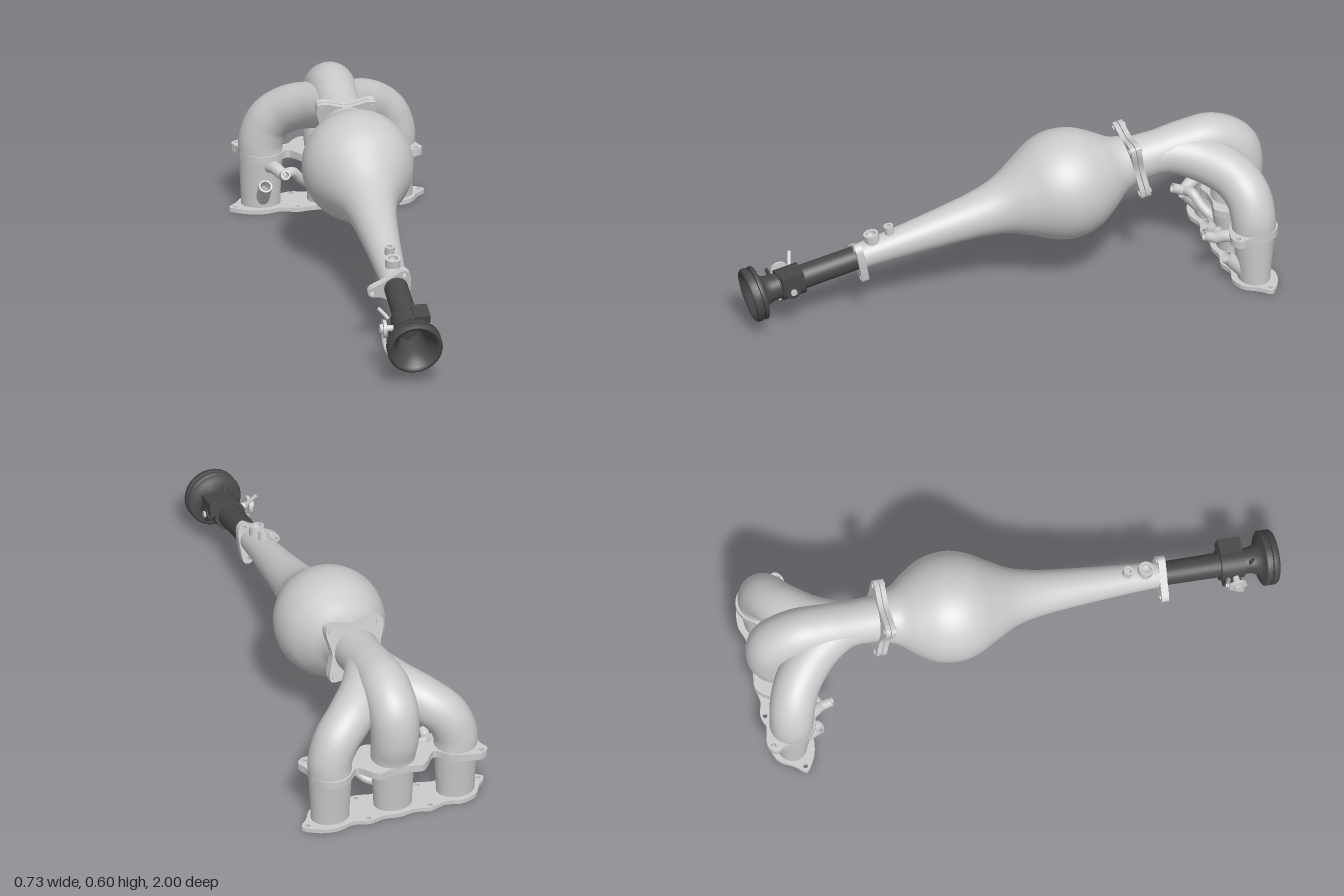
import * as THREE from 'three';

const grey = new THREE.MeshStandardMaterial({ color: 0xcccccc, side: THREE.DoubleSide });
const dark = new THREE.MeshStandardMaterial({ color: 0x484848, side: THREE.DoubleSide });
const V = (x, y, z) => new THREE.Vector3(x, y, z);
const PORT_X = [-0.245, 0, 0.245], PORT_Z = -0.89;

function add(parent, name, geometry, material = grey, pos = [0, 0, 0]) {
  const mesh = new THREE.Mesh(geometry, material);
  mesh.name = name;
  mesh.position.set(...pos);
  parent.add(mesh);
  return mesh;
}

// Lathe from [radius, height] pairs; repeated points keep an edge sharp
const lathe = (pts, seg = 48) => new THREE.LatheGeometry(pts.map(p => new THREE.Vector2(...p)), seg);

// Smooth lathe: spline through the pairs
const smoothLathe = (pts, seg = 64) => new THREE.LatheGeometry(
  new THREE.SplineCurve(pts.map(p => new THREE.Vector2(...p))).getPoints(60), seg);

// Tube whose radius follows a list of values along its path
function sweep(pts, radii, rings = 48, sides = 36) {
  const path = new THREE.CatmullRomCurve3(pts.map(p => V(...p)));
  const geo = new THREE.TubeGeometry(path, rings, 1, sides);
  const pos = geo.attributes.position, v = V();
  for (let i = 0; i <= rings; i++) {
    const c = path.getPointAt(i / rings), f = (i / rings) * (radii.length - 1);
    const k = Math.min(Math.floor(f), radii.length - 2);
    const r = THREE.MathUtils.lerp(radii[k], radii[k + 1], f - k);
    for (let j = 0; j <= sides; j++) {
      const n = i * (sides + 1) + j;
      v.fromBufferAttribute(pos, n).sub(c).multiplyScalar(r).add(c);
      pos.setXYZ(n, v.x, v.y, v.z);
    }
  }
  return geo;
}

// Flat plate with a smooth outline and [x, y, rx, ry] holes, lying flat with thickness upwards
function plate(outline, holes, depth) {
  const curve = new THREE.CatmullRomCurve3(outline.map(p => V(p[0], p[1], 0)), true);
  const shape = new THREE.Shape(curve.getPoints(140).slice(0, -1).map(p => new THREE.Vector2(p.x, p.y)));
  for (const [x, y, rx, ry = rx] of holes)
    shape.holes.push(new THREE.Path().absellipse(x, y, rx, ry, 0, Math.PI * 2, true));
  const geo = new THREE.ExtrudeGeometry(shape, { depth, bevelEnabled: false, curveSegments: 24 });
  return geo.rotateX(-Math.PI / 2);
}

const turned = half => [...half, ...half.map(([x, y]) => [-x, -y])];

// Straight hollow spout from a to b
function spout(parent, name, a, b, r, bore, material = grey) {
  const d = V(...b).sub(V(...a)), h = d.length();
  const mesh = add(parent, name, lathe([[r * 1.05, 0], [r, h], [r, h], [bore, h], [bore, h], [bore, h * 0.5], [0, h * 0.5]], 28), material, a);
  mesh.quaternion.setFromUnitVectors(V(0, 1, 0), d.normalize());
}

function buildRunners(root) {
  // Head flange and joint flange
  const base = turned([[-0.367, -0.03], [-0.345, -0.052], [-0.3, -0.075], [-0.24, -0.083], [-0.18, -0.067],
    [-0.12, -0.082], [-0.06, -0.072], [0, -0.08], [0.06, -0.072], [0.12, -0.085], [0.18, -0.068],
    [0.24, -0.082], [0.3, -0.062], [0.335, -0.01]]);
  const bolts = [[-0.345, -0.03], [0.345, 0.03], [-0.12, -0.066], [0.12, 0.066], [0.12, -0.068], [-0.12, 0.068]];
  add(root, 'headFlange', plate(base, [...bolts.map(b => [...b, 0.009]),
    ...PORT_X.map(x => [x, 0, 0.06, 0.048])], 0.016), grey, [0, 0, PORT_Z]);
  const joint = turned([[-0.325, -0.02], [-0.295, -0.07], [-0.245, -0.09], [-0.2, -0.075], [-0.15, -0.03],
    [-0.105, -0.08], [-0.08, -0.095], [-0.04, -0.085], [0.03, -0.086], [0.08, -0.097], [0.105, -0.08],
    [0.15, -0.03], [0.2, -0.075], [0.25, -0.094], [0.31, -0.104], [0.34, -0.08], [0.325, -0.035]]);
  add(root, 'jointFlange', plate(joint, [[0.315, -0.083, 0.01], [-0.315, 0.083, 0.01]], 0.028),
    grey, [0, 0.197, PORT_Z]);

  // Lower runners taper to oval ports
  for (const x of PORT_X) {
    const geo = lathe([[0.06, 0.2], [0.06, 0], [0.06, 0], [0.072, 0], [0.072, 0], [0.073, 0.05], [0.08, 0.2]]);
    const p = geo.attributes.position;
    for (let i = 0; i < p.count; i++) p.setZ(i, p.getZ(i) * (0.8 + 0.9 * p.getY(i)));
    geo.computeVertexNormals();
    add(root, 'lowerRunner', geo, grey, [x, 0, PORT_Z]);
    spout(root, 'injectorBoss', [x, 0.04, -0.855], [x, 0.118, -0.785], 0.025, 0.019);
  }

  // Upper runners merging into the collector neck
  add(root, 'centreRunner', sweep([[0, 0.444, -0.5], [0, 0.46, -0.6], [0, 0.48, -0.71], [0, 0.483, -0.81],
    [0, 0.43, -0.895], [0, 0.33, -0.912], [0, 0.25, -0.895], [0, 0.2, -0.89]],
  [0.086, 0.082, 0.086, 0.091, 0.092, 0.088, 0.08]));
  for (const s of [-1, 1]) {
    add(root, 'outerRunner', sweep([[0, 0.452, -0.55], [0.012 * s, 0.457, -0.64], [0.06 * s, 0.44, -0.745],
      [0.15 * s, 0.398, -0.84], [0.215 * s, 0.342, -0.877], [0.245 * s, 0.265, -0.888], [0.245 * s, 0.2, -0.89]],
    [0.08, 0.078, 0.084, 0.086, 0.085, 0.083, 0.08]));
    // Breather pipe between the runners with its front nipple
    add(root, 'breatherPipe', sweep([[0.19 * s, 0.165, -0.765], [0.145 * s, 0.168, -0.785], [0.115 * s, 0.135, -0.805],
      [0.085 * s, 0.105, -0.83], [0.03 * s, 0.09, -0.86]], [0.02, 0.018, 0.018, 0.02], 28, 18));
    add(root, 'breatherArm', sweep([[0.182 * s, 0.165, -0.765], [0.205 * s, 0.18, -0.8], [0.24 * s, 0.18, -0.86]],
      [0.022, 0.024, 0.032], 12, 18));
    spout(root, 'breatherNipple', [0.182 * s, 0.155, -0.785], [0.182 * s, 0.183, -0.72], 0.018, 0.012);
  }
}

// Plenum, throttle and trumpet share one tilted axis: local y runs backwards, local z up
function buildIntake(root) {
  const g = new THREE.Group();
  g.name = 'intake';
  g.position.y = 0.345;
  g.rotation.x = -Math.PI / 2 + Math.atan(0.205);
  root.add(g);

  add(g, 'plenum', smoothLathe([[0.048, -0.57], [0.052, -0.48], [0.062, -0.34], [0.072, -0.22], [0.085, -0.1],
    [0.108, 0], [0.155, 0.095], [0.192, 0.17], [0.205, 0.245], [0.19, 0.325], [0.15, 0.395], [0.11, 0.45], [0.094, 0.5]]));

  // Square bolted collector flanges
  const square = [];
  for (let i = 0; i < 4; i++) {
    const c = Math.round(Math.cos(i * Math.PI / 2)), s = Math.round(Math.sin(i * Math.PI / 2));
    for (const [x, y] of [[0.095, 0], [0.112, 0.082], [0.107, 0.107], [0.082, 0.112]]) square.push([x * c - y * s, x * s + y * c]);
  }
  const corners = [[1, 1], [1, -1], [-1, 1], [-1, -1]];
  for (const y of [0.492, 0.513])
    add(g, 'collectorFlange', plate(square, corners.map(c => [c[0] * 0.093, c[1] * 0.093, 0.009]), 0.018), grey, [0, y, 0]);
  for (const [x, z] of corners)
    add(g, 'flangeBolt', new THREE.CylinderGeometry(0.011, 0.011, 0.05, 6), grey, [x * 0.093, 0.512, z * 0.093]);

  // Three-eared throttle flange
  add(g, 'throttleFlange', plate([[0.05, -0.055], [0.03, -0.071], [0.005, -0.06], [-0.05, -0.025], [-0.096, 0.002],
    [-0.103, 0.02], [-0.088, 0.035], [-0.05, 0.04], [-0.01, 0.066], [0.02, 0.091], [0.04, 0.085], [0.047, 0.06],
    [0.052, 0.02], [0.055, -0.02]], [[0.031, -0.053, 0.009], [-0.086, 0.019, 0.009], [0.025, 0.073, 0.009]], 0.028),
  grey, [0, -0.58, 0]);

  // Sensor bosses on top
  spout(g, 'sensorBoss', [0, -0.5, 0.03], [0, -0.5, 0.078], 0.028, 0.018);
  spout(g, 'smallBoss', [0, -0.43, 0.04], [0, -0.43, 0.085], 0.018, 0.01);

  // Throttle tube and body
  add(g, 'throttleTube', new THREE.CylinderGeometry(0.044, 0.046, 0.32, 40, 1, true), dark, [0, -0.73, 0]);
  add(g, 'throttleBody', lathe([[0.045, -0.79], [0.058, -0.79], [0.058, -0.79], [0.058, -0.88], [0.058, -0.88], [0.045, -0.88]]), dark);
  add(g, 'throttleBlock', new THREE.BoxGeometry(0.06, 0.085, 0.055), dark, [0.045, -0.835, 0.035]);
  add(g, 'lowerBlock', new THREE.BoxGeometry(0.07, 0.06, 0.05), dark, [-0.03, -0.835, -0.035]);
  add(g, 'throttlePlate', new THREE.CircleGeometry(0.045, 36).rotateX(Math.PI / 2), dark, [0, -0.85, 0]);
  for (const [name, x, r, w, m] of [['spindleBoss', 0.065, 0.028, 0.025, dark], ['spindleScrew', 0.078, 0.012, 0.012, grey],
    ['spindle', -0.075, 0.012, 0.06, grey], ['throttlePulley', -0.09, 0.034, 0.012, grey], ['pulleyHub', -0.1, 0.018, 0.014, grey]])
    add(g, name, new THREE.CylinderGeometry(r, r, w, 24).rotateZ(Math.PI / 2), m, [x, -0.845, 0]);
  add(g, 'throttleLever', sweep([[-0.09, -0.845, 0], [-0.09, -0.86, -0.05], [-0.075, -0.885, -0.085], [-0.04, -0.875, -0.085]],
    [0.01, 0.008, 0.007], 20, 10));
  spout(g, 'cableStop', [-0.07, -0.81, 0.02], [-0.105, -0.79, 0.055], 0.007, 0.003);
  spout(g, 'idlePin', [-0.025, -0.9, 0.03], [-0.025, -0.905, 0.068], 0.007, 0.003, dark);

  // Trumpet: grooved outer rim and flared mouth
  add(g, 'trumpet', lathe([[0.047, -0.86], [0.048, -0.91], [0.056, -0.935], [0.075, -0.947], [0.096, -0.95],
    [0.096, -0.95], [0.102, -0.955], [0.102, -0.966], [0.102, -0.966], [0.092, -0.968], [0.092, -0.968], [0.092, -0.975], [0.092, -0.975],
    [0.102, -0.977], [0.102, -0.977], [0.102, -0.993], [0.096, -1], [0.09, -1], [0.082, -0.993], [0.068, -0.975],
    [0.056, -0.95], [0.048, -0.92], [0.044, -0.88], [0.044, -0.85]], 64), dark);
}

export function createModel() {
  const root = new THREE.Group();
  root.name = 'intakeManifold';
  buildRunners(root);
  buildIntake(root);
  return root;
}
